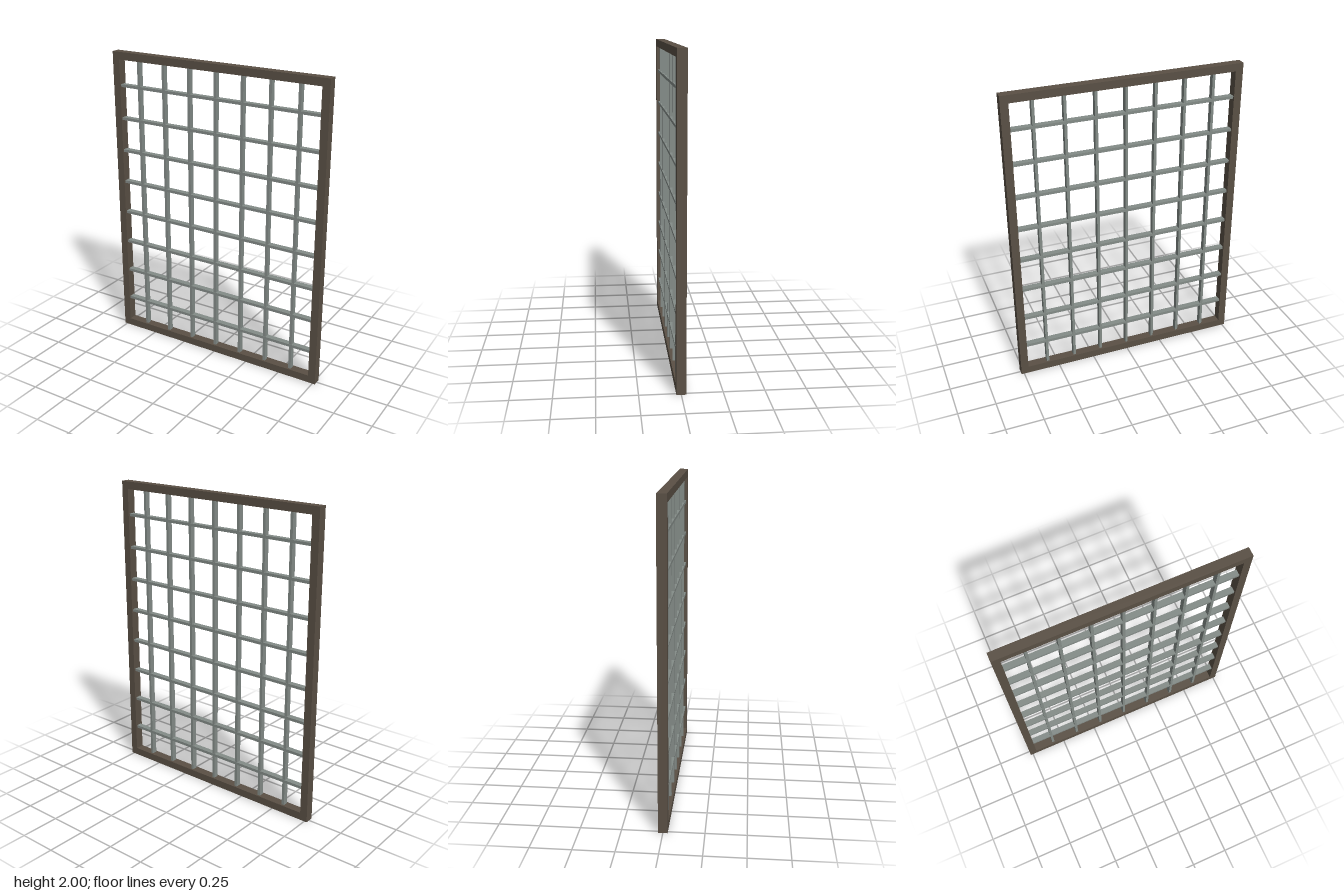
import * as THREE from 'three';

const W = 1.536, H = 2, DEPTH = 0.058, RAIL = 0.05;
const BAR = 0.018;

export function createModel() {
  const root = new THREE.Group();
  root.name = 'latticePanel';
  const frameMat = new THREE.MeshStandardMaterial({ color: 0x5a5045 });
  const barMat = new THREE.MeshStandardMaterial({ color: 0x848c88 });

  const addBox = (parent, name, mat, size, pos) => {
    const mesh = new THREE.Mesh(new THREE.BoxGeometry(...size), mat);
    mesh.name = name;
    mesh.position.set(...pos);
    parent.add(mesh);
  };

  // Outer frame: one rectangle with an opening
  const outline = new THREE.Shape();
  outline.moveTo(-W / 2, 0).lineTo(W / 2, 0).lineTo(W / 2, H).lineTo(-W / 2, H).closePath();
  const x = W / 2 - RAIL;
  const opening = new THREE.Path();
  opening.moveTo(-x, RAIL).lineTo(-x, H - RAIL).lineTo(x, H - RAIL).lineTo(x, RAIL).closePath();
  outline.holes.push(opening);
  const frameGeo = new THREE.ExtrudeGeometry(outline, { depth: DEPTH, bevelEnabled: false });
  frameGeo.translate(0, 0, -DEPTH / 2);
  const frame = new THREE.Mesh(frameGeo, frameMat);
  frame.name = 'outerFrame';
  root.add(frame);

  // Lattice: seven upright bars crossed by eight slightly deeper level bars
  const lattice = new THREE.Group();
  lattice.name = 'lattice';
  root.add(lattice);
  for (let i = 1; i < 8; i++) {
    addBox(lattice, 'verticalBar', barMat, [BAR, H - 2 * RAIL, 0.034], [-W / 2 + (i * W) / 8, H / 2, 0]);
  }
  for (let i = 1; i < 9; i++) {
    addBox(lattice, 'horizontalBar', barMat, [W - 2 * RAIL, BAR, 0.038], [0, (i * H) / 9, 0]);
  }
  return root;
}
